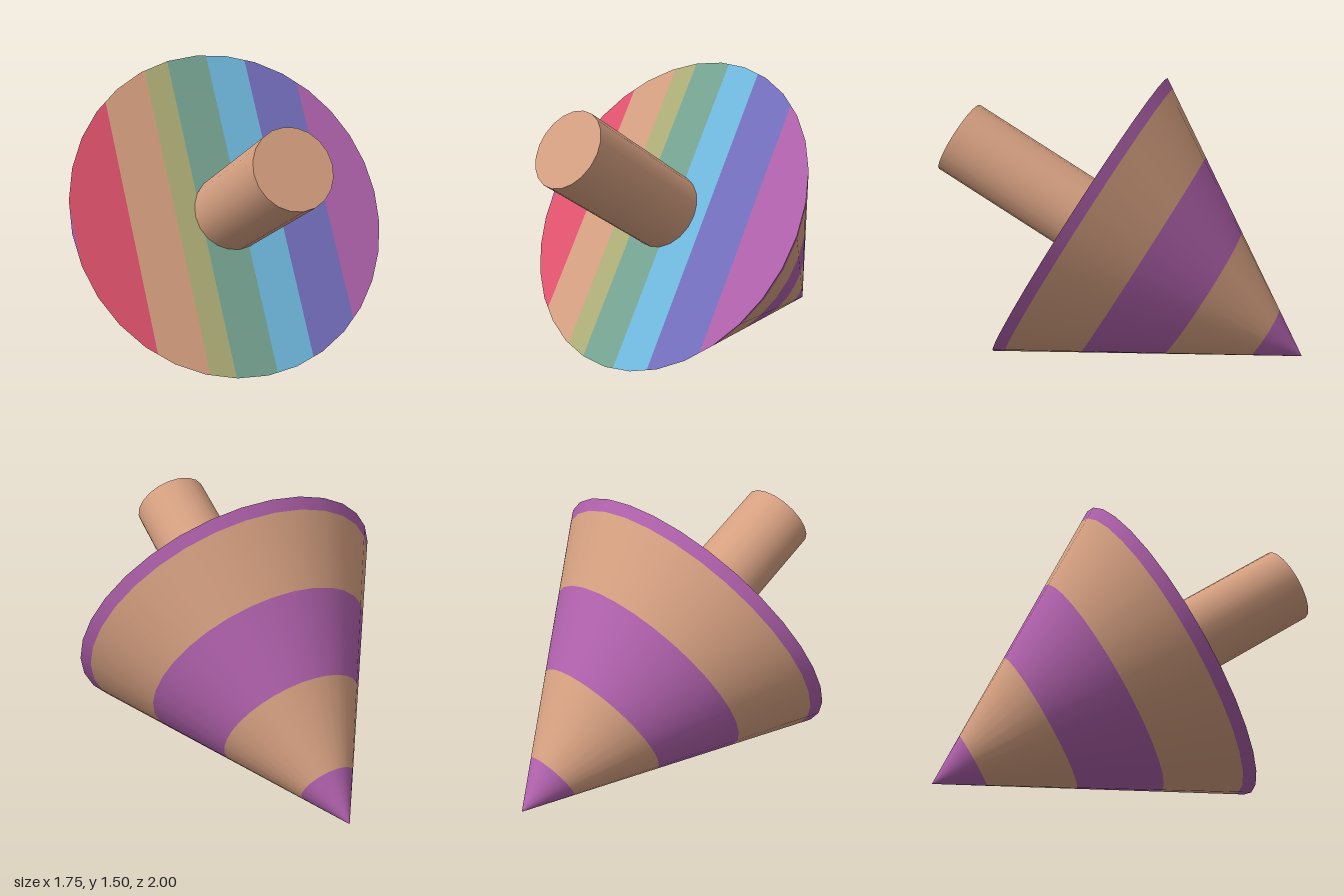
import * as THREE from 'three';

const mat = (name, color) => {
  const m = new THREE.MeshStandardMaterial({ color });
  m.name = name;
  return m;
};

const SIDES = 32, R = 0.875, DEPTH = 1.423;

// Half-width of the 32-sided disc at a given x
const rim = [];
for (let i = 0; i <= SIDES / 2; i++) {
  const a = -Math.PI / 2 + (i * 2 * Math.PI) / SIDES;
  rim.push([R * Math.sin(a), R * Math.cos(a)]);
}
function halfWidth(x) {
  for (let i = 1; i < rim.length; i++) {
    const [x0, h0] = rim[i - 1], [x1, h1] = rim[i];
    if (x <= x1) return h0 + ((h1 - h0) * (x - x0)) / (x1 - x0);
  }
  return 0;
}

// Slice of the disc between two x values, facing +y
function stripeGeometry(a, b) {
  const xs = [a, ...rim.map(p => p[0]).filter(x => x > a + 1e-4 && x < b - 1e-4), b];
  const lower = xs.map(x => new THREE.Vector2(x, -halfWidth(x)));
  const upper = xs.map(x => new THREE.Vector2(x, halfWidth(x))).reverse();
  const pts = [...lower, ...upper].filter((p, i, all) => i === 0 || p.distanceTo(all[i - 1]) > 1e-4);
  return new THREE.ShapeGeometry(new THREE.Shape(pts)).rotateX(-Math.PI / 2);
}

export function createModel() {
  const tan = mat('tan', 0xd6a081);
  const purple = mat('purple', 0xb061ac);
  const red = mat('red', 0xe0536d);
  const olive = mat('olive', 0xaeae78);
  const green = mat('green', 0x76a592);
  const blue = mat('light blue', 0x70b9de);
  const indigo = mat('indigo', 0x746fbd);

  const top = new THREE.Group();
  top.name = 'spinningTop';
  const add = (name, geometry, material, y = 0) => {
    const mesh = new THREE.Mesh(geometry, material);
    mesh.name = name;
    mesh.position.y = y;
    top.add(mesh);
  };

  // Cone body: rings of alternating colour from rim to tip
  const rings = [0, 0.04, 0.282, 0.55, 0.83, 1];
  for (let i = 0; i < rings.length - 1; i++) {
    const t0 = rings[i], t1 = rings[i + 1];
    add('coneRing' + (i + 1),
      new THREE.CylinderGeometry(R * (1 - t0), R * (1 - t1), DEPTH * (t1 - t0), SIDES, 1, true),
      i % 2 ? tan : purple, (-DEPTH * (t0 + t1)) / 2);
  }

  // Flat face: coloured stripes
  const edges = [-R, -0.86, -0.562, -0.312, -0.175, 0.055, 0.275, 0.558, R];
  [purple, red, tan, olive, green, blue, indigo, purple].forEach((m, i) =>
    add('faceStripe' + (i + 1), stripeGeometry(edges[i], edges[i + 1]), m));

  // Handle
  add('handle', new THREE.CylinderGeometry(0.207, 0.207, 0.787, 20), tan, 0.3945);

  // The top rests on its side, handle up and forward
  top.rotation.x = 1.029;
  top.position.set(0, 0.751, 0.22);

  const model = new THREE.Group();
  model.name = 'model';
  model.add(top);
  return model;
}
